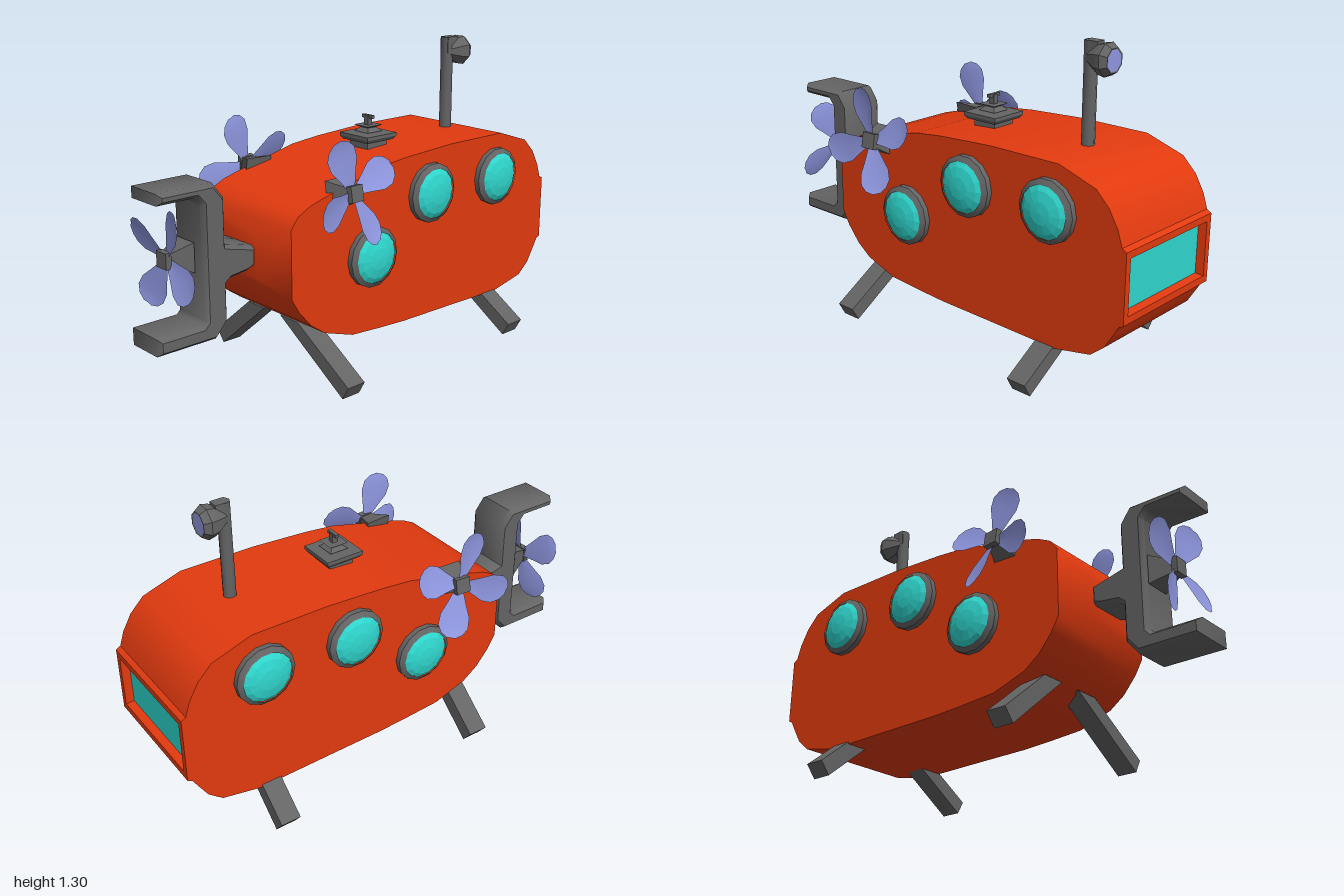
import * as THREE from 'three';
import { toCreasedNormals } from 'three/addons/utils/BufferGeometryUtils.js';

const paint = (name, color, side = THREE.FrontSide) => {
  const m = new THREE.MeshStandardMaterial({ color, side });
  m.name = name;
  return m;
};

export function createModel() {
  const model = new THREE.Group();
  model.name = 'submarine';
  const red = paint('hull red', 0xe23a0f);
  const grey = paint('metal grey', 0x646464);
  const teal = paint('glass teal', 0x2fd8cf);
  const lilac = paint('blade lilac', 0x8f97e0, THREE.DoubleSide);
  const CX = -0.008; // hull centre line

  const add = (parent, name, geo, mat, x = 0, y = 0, z = 0, crease = 0.5) => {
    const mesh = new THREE.Mesh(toCreasedNormals(geo, crease), mat);
    mesh.name = name;
    mesh.position.set(x, y, z);
    parent.add(mesh);
    return mesh;
  };

  // Hull: rectangular sections from nose to tail, ending in a recessed window frame
  // each section: z, bottom, top, half width
  const sections = [
    [0.55, 0.47, 0.64, 0.11], [0.515, 0.42, 0.70, 0.277], [0.48, 0.36, 0.745, 0.277],
    [0.42, 0.29, 0.775, 0.277], [0.35, 0.24, 0.795, 0.277], [0.2, 0.19, 0.83, 0.277],
    [0.04, 0.178, 0.868, 0.277], [-0.1, 0.17, 0.882, 0.277], [-0.36, 0.166, 0.896, 0.277],
    [-0.69, 0.16, 0.896, 0.277], [-0.86, 0.195, 0.84, 0.277], [-0.92, 0.245, 0.78, 0.277],
    [-0.96, 0.31, 0.71, 0.277], [-0.98, 0.345, 0.65, 0.277], [-1, 0.355, 0.638, 0.277],
    [-1, 0.385, 0.61, 0.25], [-0.965, 0.39, 0.605, 0.245],
  ];
  const pos = [], idx = [0, 1, 2, 0, 2, 3];
  sections.forEach(([z, b, t, w], i) => {
    pos.push(-w, b, z, w, b, z, w, t, z, -w, t, z);
    if (!i) return;
    for (let j = 0; j < 4; j++) {
      const a = (i - 1) * 4, k = (j + 1) % 4;
      idx.push(a + j, a + 4 + j, a + 4 + k, a + j, a + 4 + k, a + k);
    }
  });
  const hull = new THREE.BufferGeometry();
  hull.setAttribute('position', new THREE.Float32BufferAttribute(pos, 3));
  hull.setIndex(idx);
  add(model, 'hull', hull, red, CX, 0, 0, 0.7);
  add(model, 'rearWindow', new THREE.PlaneGeometry(0.49, 0.215).rotateY(Math.PI), teal, CX, 0.4975, -0.966);

  // Propeller: four dished blades on a square tapering hub, axis along +z
  const bladeGeometry = () => {
    const p = [], f = [];
    const rows = [[0.02, 0.016], [0.08, 0.04], [0.13, 0.062], [0.175, 0.064], [0.205, 0.046], [0.222, 0.018]];
    rows.forEach(([r, w], i) => {
      const lift = r * 0.13;
      p.push(r, -w, lift + w * 0.3, r, 0, lift - w * 0.12, r, w, lift - w * 0.25);
      if (!i) return;
      for (let j = 0; j < 2; j++) {
        const a = i * 3 - 3 + j;
        f.push(a, a + 3, a + 4, a, a + 4, a + 1);
      }
    });
    const g = new THREE.BufferGeometry();
    g.setAttribute('position', new THREE.Float32BufferAttribute(p, 3));
    g.setIndex(f);
    return g;
  };
  const propeller = (name, startAngle) => {
    const g = new THREE.Group();
    g.name = name;
    for (let i = 0; i < 4; i++) {
      add(g, 'blade', bladeGeometry(), lilac, 0, 0, 0, 0.8).rotation.z = startAngle + i * Math.PI / 2;
    }
    const hub = new THREE.CylinderGeometry(0.035, 0.085, 0.09, 4).rotateY(Math.PI / 4).rotateX(Math.PI / 2);
    add(g, 'hub', hub, grey, 0, 0, -0.04);
    add(g, 'hubCap', new THREE.BoxGeometry(0.065, 0.065, 0.025), grey, 0, 0, 0.012);
    return g;
  };
  const frontPropeller = propeller('frontPropeller', 1.08);
  frontPropeller.position.set(-0.03, 0.595, 0.875);
  model.add(frontPropeller);

  // Forked bracket around the front propeller
  const fork = new THREE.Shape([
    [0.54, 0.52], [0.58, 0.505], [0.66, 0.495], [0.68, 0.48], [0.68, 0.33], [0.735, 0.265],
    [1, 0.265], [1, 0.335], [0.8, 0.335], [0.785, 0.35], [0.785, 0.81], [0.81, 0.84],
    [0.975, 0.84], [0.975, 0.886], [0.73, 0.886], [0.68, 0.82], [0.68, 0.635], [0.66, 0.63],
    [0.58, 0.61], [0.54, 0.6],
  ].map(([z, y]) => new THREE.Vector2(z, y)));
  const forkGeo = new THREE.ExtrudeGeometry(fork, {
    depth: 0.16, bevelThickness: 0.02, bevelSize: 0.015, bevelOffset: -0.015, bevelSegments: 1,
  }).translate(0, 0, -0.08).rotateY(-Math.PI / 2);
  add(model, 'propellerBracket', forkGeo, grey, -0.01, 0, 0, 0.9);

  // Both sides: portholes and tilted propeller
  const lathe = (points, n) =>
    new THREE.LatheGeometry(points.map(([r, y]) => new THREE.Vector2(r, y)), n).rotateZ(-Math.PI / 2);
  for (const s of [1, -1]) {
    const side = new THREE.Group();
    side.name = s > 0 ? 'leftSide' : 'rightSide';
    side.scale.x = s;
    side.position.x = CX;
    for (const [z, y] of [[0.1, 0.505], [-0.24, 0.71], [-0.65, 0.71]]) {
      add(side, 'portholeFrame', lathe([[0.127, 0], [0.127, 0.028], [0.106, 0.042]], 14), grey, 0.272, y, z);
      add(side, 'portholeGlass', lathe([[0.108, 0.036], [0.085, 0.05], [0.045, 0.06], [0, 0.064]], 14),
        teal, 0.272, y, z, 0.1);
    }
    const prop = propeller('sidePropeller', 0.38);
    prop.position.set(0.332, 0.805, 0.25);
    prop.rotation.set(0, Math.PI / 2 + 0.08, 0.18, 'ZYX');
    side.add(prop);
    model.add(side);
  }

  // Splayed legs
  const legOutlines = {
    leftLeg: [[0.02, 0.25], [0.4, 0.008], [0.432, 0.064], [0.13, 0.25]],
    rightLeg: [[-0.085, 0.25], [-0.19, 0.25], [-0.424, 0.058], [-0.38, 0.004]],
  };
  for (const [name, pts] of Object.entries(legOutlines)) {
    for (const z of [0.33, -0.64]) {
      const shape = new THREE.Shape(pts.map(([x, y]) => new THREE.Vector2(x, y)));
      const geo = new THREE.ExtrudeGeometry(shape, { depth: 0.088, bevelEnabled: false });
      add(model, name, geo, grey, 0, 0, z - 0.044);
    }
  }

  // Hatch with stacked square plates and a handle
  const square = (top, bottom, h, y) => {
    const k = Math.SQRT2;
    const geo = new THREE.CylinderGeometry(top * k, bottom * k, h, 4).rotateY(Math.PI / 4);
    add(model, 'hatch', geo, grey, 0.003, y + h / 2, -0.135);
  };
  square(0.055, 0.055, 0.04, 0.87);
  square(0.085, 0.075, 0.015, 0.91);
  square(0.085, 0.085, 0.014, 0.925);
  square(0.02, 0.042, 0.02, 0.945);
  square(0.042, 0.02, 0.012, 0.96);
  square(0.012, 0.012, 0.085, 0.925);
  add(model, 'hatchHandle', new THREE.BoxGeometry(0.06, 0.014, 0.016), grey, 0.003, 1.007, -0.135);

  // Periscope with flared head looking back
  add(model, 'periscopePost', new THREE.CylinderGeometry(0.027, 0.027, 0.43, 8), grey, 0.002, 1.085, -0.617, 0.9);
  const head = new THREE.LatheGeometry([[0, 0], [0.028, 0], [0.062, 0.055], [0.068, 0.085], [0.05, 0.112], [0.044, 0.11]]
    .map(([r, y]) => new THREE.Vector2(r, y)), 8, Math.PI / 8).rotateX(-Math.PI / 2);
  add(model, 'periscopeHead', head, grey, 0.002, 1.236, -0.613);
  add(model, 'periscopeLens', new THREE.CircleGeometry(0.046, 8, Math.PI / 8).rotateY(Math.PI), lilac, 0.002, 1.236, -0.722);
  const elbow = new THREE.BoxGeometry(0.045, 0.07, 0.06);
  add(model, 'periscopeElbow', elbow, grey, 0.002, 1.266, -0.63);

  return model;
}
